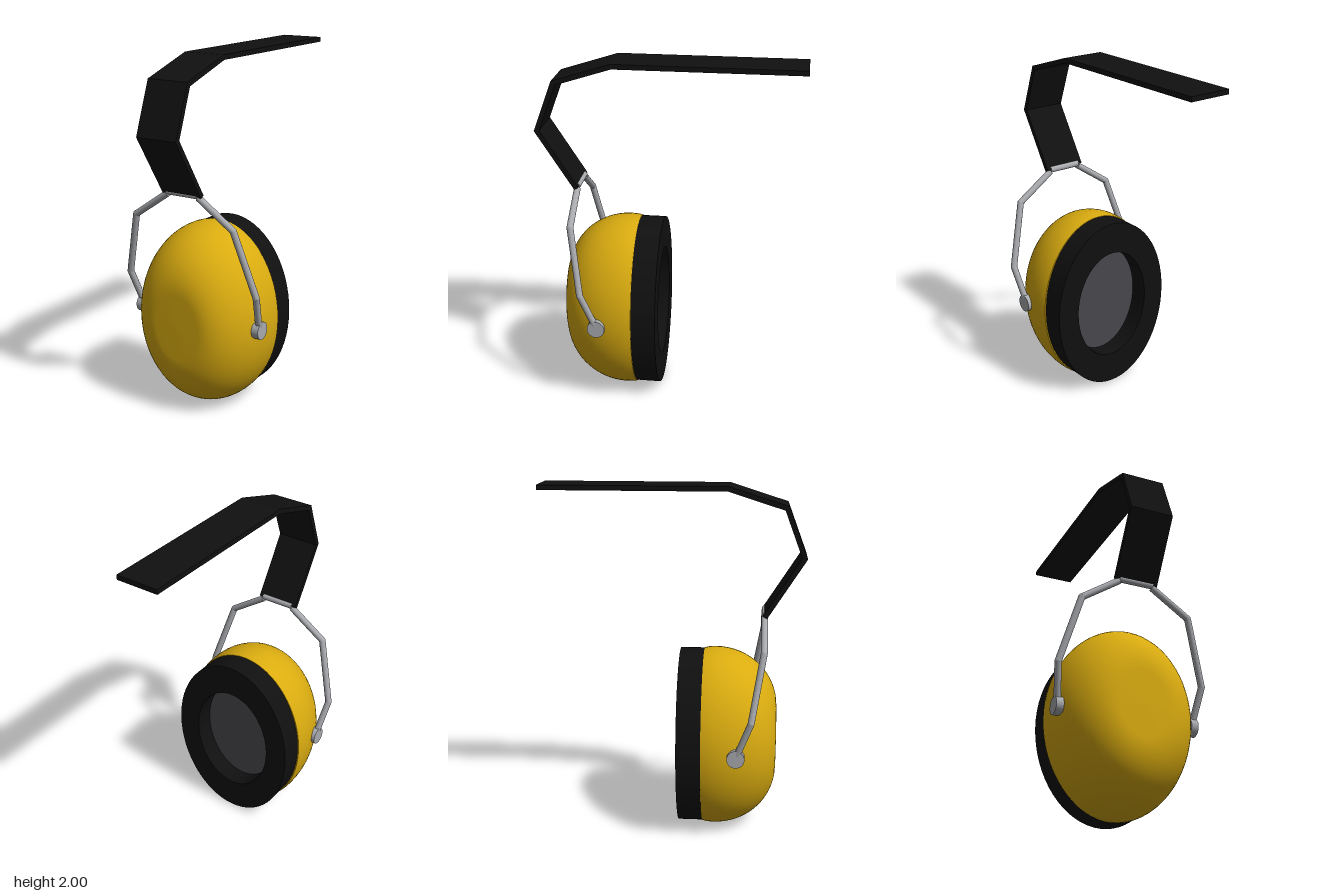
import * as THREE from 'three';
import { toCreasedNormals } from 'three/addons/utils/BufferGeometryUtils.js';

const mat = (name, color) => Object.assign(new THREE.MeshStandardMaterial({ color }), { name });
const V2 = (x, y) => new THREE.Vector2(x, y);
const V3 = (x, y, z) => new THREE.Vector3(x, y, z);
const CUP_Y = 0.535;

// Closed outline of constant thickness around an open 2D path, with mitred corners
function ribbonShape(path, thickness) {
  const left = [], right = [];
  path.forEach((p, i) => {
    const a = path[Math.max(i - 1, 0)], b = path[Math.min(i + 1, path.length - 1)];
    const d1 = (i > 0 ? p.clone().sub(a) : b.clone().sub(p)).normalize();
    const d2 = (i < path.length - 1 ? b.clone().sub(p) : d1.clone()).normalize();
    const n = V2(-d1.y - d2.y, d1.x + d2.x).normalize();
    const w = thickness / 2 / n.dot(V2(-d1.y, d1.x));
    left.push(p.clone().addScaledVector(n, w));
    right.unshift(p.clone().addScaledVector(n, -w));
  });
  return new THREE.Shape([...left, ...right]);
}

export function createModel() {
  const yellow = mat('shellYellow', 0xdaac10);
  const black = mat('paddingBlack', 0x101010);
  const metal = mat('wireMetal', 0xa8aaae);
  const grey = mat('linerGrey', 0x47464b);
  const model = new THREE.Group();
  model.name = 'earmuff';

  const add = (name, geometry, material, parent = model) => {
    const mesh = new THREE.Mesh(geometry, material);
    mesh.name = name;
    parent.add(mesh);
    return mesh;
  };

  // Domed oval shell, closed at the back
  const profile = [V2(0.985, 0.178), V2(0.997, 0.21)];
  for (let i = 0; i <= 16; i++) {
    const a = (i / 16) * Math.PI / 2;
    profile.push(V2(0.35 + 0.65 * Math.cos(a), 0.245 + 0.355 * Math.sin(a)));
  }
  profile.push(V2(0, 0.602));
  const shell = new THREE.LatheGeometry(profile, 64).rotateX(Math.PI / 2).scale(0.4, 0.53, 1);
  add('shell', shell, yellow).position.y = CUP_Y;
  const back = new THREE.CircleGeometry(0.985, 64).rotateY(Math.PI).scale(0.4, 0.53, 1);
  add('shellBack', back, yellow).position.set(0, CUP_Y, 0.178);

  // Oval cushion ring
  const ring = new THREE.Shape().absellipse(0, 0, 0.387, 0.52, 0, Math.PI * 2);
  ring.holes.push(new THREE.Path().absellipse(0, 0, 0.25, 0.335, 0, Math.PI * 2, true));
  const cushion = new THREE.ExtrudeGeometry(ring, { depth: 0.138, bevelEnabled: false, curveSegments: 32 });
  add('cushion', toCreasedNormals(cushion, 0.6), black).position.set(0, CUP_Y, 0.04);

  // Recessed inner liner
  const liner = new THREE.CircleGeometry(1, 48).rotateY(Math.PI).scale(0.28, 0.365, 1);
  add('liner', liner, grey).position.set(0, CUP_Y, 0.155);

  // Bent headband, drawn from the side as (z, y)
  const bandPath = [V2(0.52, 1.275), V2(0.733, 1.609), V2(0.629, 1.884), V2(0.308, 1.986), V2(-0.75, 1.986)];
  const band = new THREE.ExtrudeGeometry(ribbonShape(bandPath, 0.028), { depth: 0.25, bevelEnabled: false });
  band.translate(0, 0, -0.125).rotateY(-Math.PI / 2);
  add('headband', band, black);

  // Bent wire arms and their pivots
  for (const side of [1, -1]) {
    const arm = new THREE.Group();
    arm.name = side > 0 ? 'leftArm' : 'rightArm';
    model.add(arm);
    const pts = [V3(0.1, 1.268, 0.52), V3(0.318, 1.12, 0.52), V3(0.422, 0.75, 0.457), V3(0.392, CUP_Y, 0.375)];
    pts.forEach(p => { p.x *= side; });
    for (let i = 0; i < 3; i++) {
      const dir = pts[i + 1].clone().sub(pts[i]);
      const rod = add('wire', new THREE.CylinderGeometry(0.019, 0.019, dir.length(), 16), metal, arm);
      rod.position.copy(pts[i]).addScaledVector(dir, 0.5);
      rod.quaternion.setFromUnitVectors(V3(0, 1, 0), dir.normalize());
      if (i > 0) add('wireBend', new THREE.SphereGeometry(0.019, 16, 12), metal, arm).position.copy(pts[i]);
    }
    const pivot = add('pivot', new THREE.CylinderGeometry(0.05, 0.05, 0.042, 32).rotateZ(Math.PI / 2), metal, arm);
    pivot.position.set(side * 0.392, CUP_Y, 0.375);
  }
  // Wire crossbar joining the arms under the band
  add('crossbar', new THREE.CylinderGeometry(0.019, 0.019, 0.2, 16).rotateZ(Math.PI / 2), metal)
    .position.set(0, 1.268 + 0.012, 0.522);
  return model;
}
